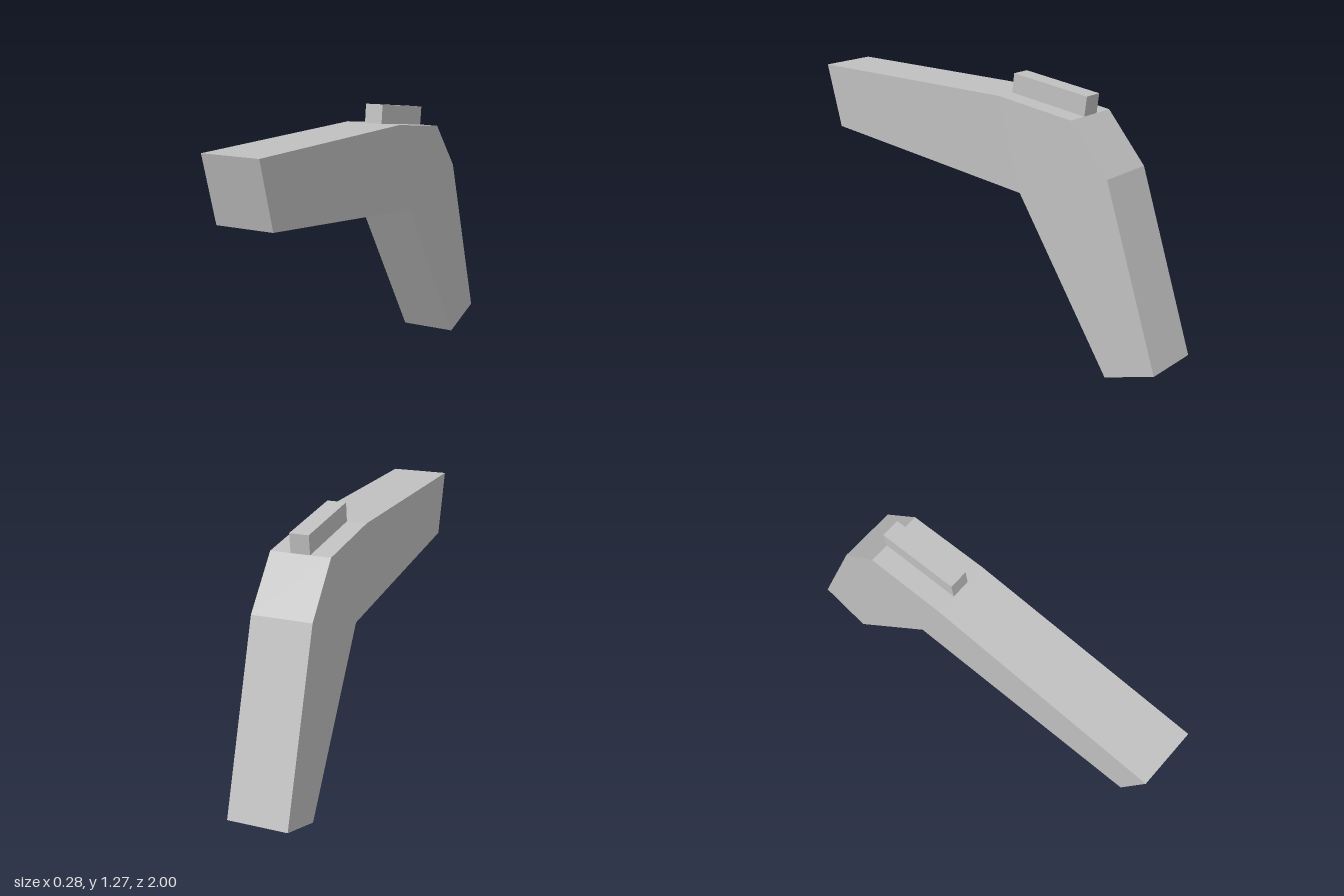
import * as THREE from 'three';

const lightGrey = new THREE.MeshStandardMaterial({ color: 0xc0c0c0 });
lightGrey.name = 'lightGrey';

// Extrudes a side outline of [z, y] points to a width centred on x = 0
function sidePlate(name, outline, width) {
  const shape = new THREE.Shape(outline.map(([z, y]) => new THREE.Vector2(z, y)));
  const geometry = new THREE.ExtrudeGeometry(shape, { depth: width, bevelEnabled: false });
  geometry.translate(0, 0, -width / 2).rotateY(-Math.PI / 2);
  const mesh = new THREE.Mesh(geometry, lightGrey);
  mesh.name = name;
  return mesh;
}

export function createModel() {
  const model = new THREE.Group();
  model.name = 'angledBody';

  // Long barrel bending down into the raked grip
  model.add(sidePlate('barrelAndGrip', [
    [1, 1.18], [0.915, 0.873], [-0.258, 0.754], [-0.748, 0],
    [-1, 0.085], [-0.728, 0.907], [-0.535, 1.131], [-0.134, 1.18],
  ], 0.28));

  // Narrow block seated on the sloping rear top
  model.add(sidePlate('topBlock', [
    [-0.134, 1.18], [-0.535, 1.131], [-0.546, 1.22], [-0.144, 1.269],
  ], 0.09));

  return model;
}
